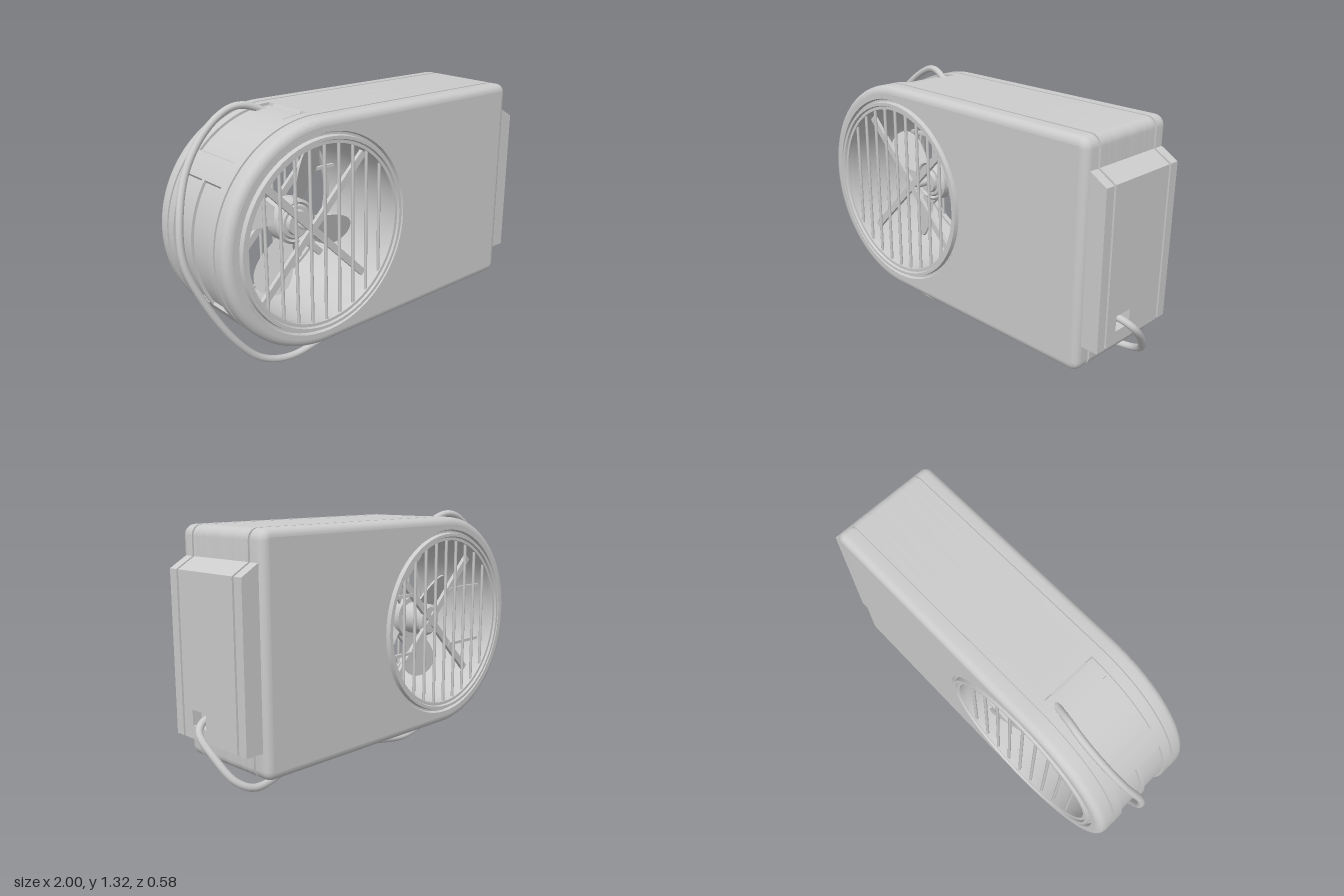
import * as THREE from 'three';
import { toCreasedNormals } from 'three/addons/utils/BufferGeometryUtils.js';

const R = 0.555, END = 1.255, CX = -0.395, CY = 0.735;
const grey = new THREE.MeshStandardMaterial({ color: 0xcccccc });
const greyBoth = new THREE.MeshStandardMaterial({ color: 0xcccccc, side: THREE.DoubleSide });

function add(parent, name, geometry, x = 0, y = 0, z = 0, material = grey) {
  const mesh = new THREE.Mesh(geometry, material);
  mesh.name = name;
  mesh.position.set(x, y, z);
  parent.add(mesh);
  return mesh;
}

// Housing outline around the fan axis: round left end, square right end with small corners
function outline(inset = 0, depthAt = () => 0) {
  const pts = [];
  const arc = (cx, cy, r, from, to, step, cut) => {
    for (let a = from; a <= to; a += step) {
      const t = THREE.MathUtils.degToRad(a), q = r - inset - cut(a);
      pts.push(new THREE.Vector2(cx + q * Math.cos(t), cy + q * Math.sin(t)));
    }
  };
  arc(0, 0, R, 90, 270, 1, depthAt);
  arc(END - 0.05, -0.497, 0.05, -90, 0, 15, () => 0);
  arc(END - 0.05, 0.497, 0.05, 0, 90, 15, () => 0);
  return pts;
}

function holedShape(pts, r) {
  const shape = new THREE.Shape(pts);
  shape.holes.push(new THREE.Path().absarc(0, 0, r, 0, Math.PI * 2, true));
  return shape;
}

function slab(shape, z0, z1) {
  const g = new THREE.ExtrudeGeometry(shape, { depth: z1 - z0, bevelEnabled: false, curveSegments: 48 });
  g.translate(0, 0, z0);
  return toCreasedNormals(g, 0.5);
}

// Skin through outlines given as [z, inset]
function loft(sections) {
  const rings = sections.map(([z, inset]) => outline(inset).map(p => [p.x, p.y, z]));
  const n = rings[0].length, index = [];
  for (let k = 0; k < rings.length - 1; k++) {
    for (let i = 0; i < n; i++) {
      const j = (i + 1) % n, a = k * n + i, b = k * n + j;
      index.push(a, b, b + n, a, b + n, a + n);
    }
  }
  const g = new THREE.BufferGeometry();
  g.setAttribute('position', new THREE.Float32BufferAttribute(rings.flat(2), 3));
  g.setIndex(index);
  return toCreasedNormals(g, 0.6);
}

function buildHousing(parent) {
  // Middle bands carry the shallow hatches, finger notches and end recesses
  const hatch = a => (a > 90 && a < 135 ? 0.012 : 0);
  const both = f => a => Math.max(f(a), f(360 - a));
  const rib = both(hatch);
  const panel = both(a => (a > 147 && a <= 180 ? 0.02 : hatch(a)));
  const notch = both(a => (a > 90 && a < 101 ? 0.045 : a > 147 && a <= 180 ? 0.02 : hatch(a)));
  const band = (name, z0, z1, cut) => add(parent, name, slab(holedShape(outline(0, cut), 0.46), z0, z1));
  band('housingRib', -0.01, 0.01, rib);
  for (const [z0, z1, cut] of [[0.01, 0.105, panel], [0.105, 0.145, notch], [0.145, 0.192, () => 0]]) {
    band('housingBand', z0, z1, cut);
    band('housingBand', -z1, -z0, cut);
  }
  add(parent, 'seamCore', slab(holedShape(outline(0.014), 0.46), -0.206, 0.206));

  // Rounded side shells with their flat faces
  const sections = [[0.204, 0.014], [0.204, 0]];
  for (let i = 0; i <= 6; i++) {
    const t = (i / 6) * Math.PI / 2;
    sections.push([0.245 + 0.038 * Math.sin(t), 0.038 * (1 - Math.cos(t))]);
  }
  for (const turn of [0, Math.PI]) {
    add(parent, 'sideShell', loft(sections)).rotation.x = turn;
    const face = new THREE.ShapeGeometry(holedShape(outline(0.038), 0.49), 48);
    add(parent, 'sideFace', face.translate(0, 0, 0.283)).rotation.x = turn;
  }

  // Air duct through the housing
  const duct = new THREE.CylinderGeometry(0.45, 0.45, 0.54, 64, 1, true).rotateX(Math.PI / 2);
  add(parent, 'airDuct', duct, 0, 0, 0, greyBoth);
}

function buildGrille(parent, turn) {
  const grille = new THREE.Group();
  grille.name = turn ? 'backGrille' : 'frontGrille';
  grille.rotation.x = turn;
  parent.add(grille);

  // Rim with a groove around it
  const profile = [[0.49, 0.283], [0.484, 0.268], [0.474, 0.268], [0.47, 0.291], [0.455, 0.291],
    [0.45, 0.28], [0.435, 0.28], [0.433, 0.25], [0.45, 0.25]].map(p => new THREE.Vector2(...p));
  const rim = toCreasedNormals(new THREE.LatheGeometry(profile, 72), 0.4).rotateX(Math.PI / 2);
  add(grille, 'grilleRim', rim, 0, 0, 0, greyBoth);

  // Upright bars
  for (let k = -4; k <= 4; k++) {
    const x = k * 0.084, h = 2 * Math.sqrt(0.44 ** 2 - x * x);
    add(grille, 'grilleBar', new THREE.CylinderGeometry(0.008, 0.008, h, 8), x, 0, 0.267);
  }

  // Crossed struts
  for (const s of [-1, 1]) {
    const strut = add(grille, 'crossStrut', new THREE.BoxGeometry(0.9, 0.036, 0.02), 0, 0, 0.17);
    strut.rotation.z = s * Math.PI / 4;
  }
}

function buildFan(parent) {
  const fan = new THREE.Group();
  fan.name = 'fan';
  parent.add(fan);

  // Motor and hub with stepped rings
  const hub = [[0, -0.17], [0.07, -0.17], [0.085, -0.155], [0.085, -0.04], [0.113, -0.04], [0.113, 0.04],
    [0.1, 0.05], [0.09, 0.04], [0.08, 0.05], [0.065, 0.05], [0.06, 0.07], [0, 0.07]].map(p => new THREE.Vector2(...p));
  add(fan, 'motorHub', toCreasedNormals(new THREE.LatheGeometry(hub, 40), 0.4).rotateX(Math.PI / 2), 0, 0, 0, greyBoth);
  add(fan, 'shaft', new THREE.CylinderGeometry(0.02, 0.02, 0.34, 16).rotateX(Math.PI / 2));

  // Four pitched paddle blades
  const blade = new THREE.Shape();
  blade.moveTo(0.08, -0.035);
  blade.bezierCurveTo(0.16, -0.05, 0.2, -0.1, 0.3, -0.095);
  blade.bezierCurveTo(0.41, -0.085, 0.42, 0.06, 0.33, 0.09);
  blade.bezierCurveTo(0.24, 0.11, 0.17, 0.06, 0.08, 0.035);
  const geometry = new THREE.ExtrudeGeometry(blade, { depth: 0.01, bevelEnabled: false, curveSegments: 14 });
  geometry.translate(0, 0, -0.005).rotateX(0.42);
  for (let i = 0; i < 4; i++) {
    add(fan, 'fanBlade', geometry).rotation.z = THREE.MathUtils.degToRad(66 + 90 * i);
  }

  // Short level braces between the struts and the duct
  for (const sx of [-1, 1]) for (const sy of [-1, 1]) {
    add(parent, 'levelBrace', new THREE.BoxGeometry(0.28, 0.016, 0.016), sx * 0.29, sy * 0.155, -0.18);
  }
}

// End box with sloped top, split by the seams, with a socket recess for the cord
function buildEndBox(parent) {
  const profile = (inset, socket) => {
    const x = 0.948 - inset, b = 0.322 + inset;
    const pts = [[0.84, b], [x, b]];
    if (socket) pts.push([x, 0.384], [0.9, 0.384], [0.9, 0.46], [x, 0.46]);
    pts.push([x, 1.09 - inset], [0.86, 1.142 - inset], [0.84, 1.142 - inset]);
    return new THREE.Shape(pts.map(p => new THREE.Vector2(...p)));
  };
  const pieces = [[-0.255, -0.205], [-0.192, 0.028], [0.028, 0.128, 0, true], [0.128, 0.192], [0.205, 0.255],
    [-0.206, -0.191, 0.014], [0.191, 0.206, 0.014]];
  for (const [z0, z1, inset = 0, socket = false] of pieces) {
    add(parent, 'endBox', slab(profile(inset, socket), z0, z1));
  }
}

function buildCord(parent) {
  const path = [[0.89, 0.425, 0.075], [0.945, 0.41, 0.062], [0.982, 0.375, 0.035], [0.965, 0.27, -0.06],
    [0.92, 0.18, -0.13], [0.85, 0.138, -0.162], [0.75, 0.13, -0.15], [0.55, 0.14, -0.07], [0.35, 0.145, 0],
    [0.1, 0.113, 0.025], [-0.2, 0.05, 0.04], [-0.45, 0.018, 0.045], [-0.62, 0.07, 0.04], [-0.76, 0.21, 0.03],
    [-0.9, 0.45, 0.0], [-0.975, 0.66, -0.025], [-0.965, 0.86, -0.05], [-0.88, 1.06, -0.11], [-0.75, 1.21, -0.145],
    [-0.62, 1.29, -0.152], [-0.54, 1.298, -0.14], [-0.43, 1.255, -0.115]].map(p => new THREE.Vector3(...p));
  const curve = new THREE.CatmullRomCurve3(path);
  add(parent, 'powerCord', new THREE.TubeGeometry(curve, 180, 0.018, 10));

  // Clip holding the cord under the housing
  add(parent, 'cordClip', new THREE.TorusGeometry(0.03, 0.011, 8, 20).rotateY(Math.PI / 2), 0.35, 0.138, 0);
  add(parent, 'clipPost', new THREE.BoxGeometry(0.03, 0.04, 0.02), 0.35, 0.18, -0.015);
}

export function createModel() {
  const model = new THREE.Group();
  model.name = 'boxFan';
  const body = new THREE.Group();
  body.name = 'body';
  body.position.set(CX, CY, 0);
  model.add(body);
  buildHousing(body);
  buildGrille(body, 0);
  buildGrille(body, Math.PI);
  buildFan(body);
  buildEndBox(model);
  buildCord(model);
  return model;
}
